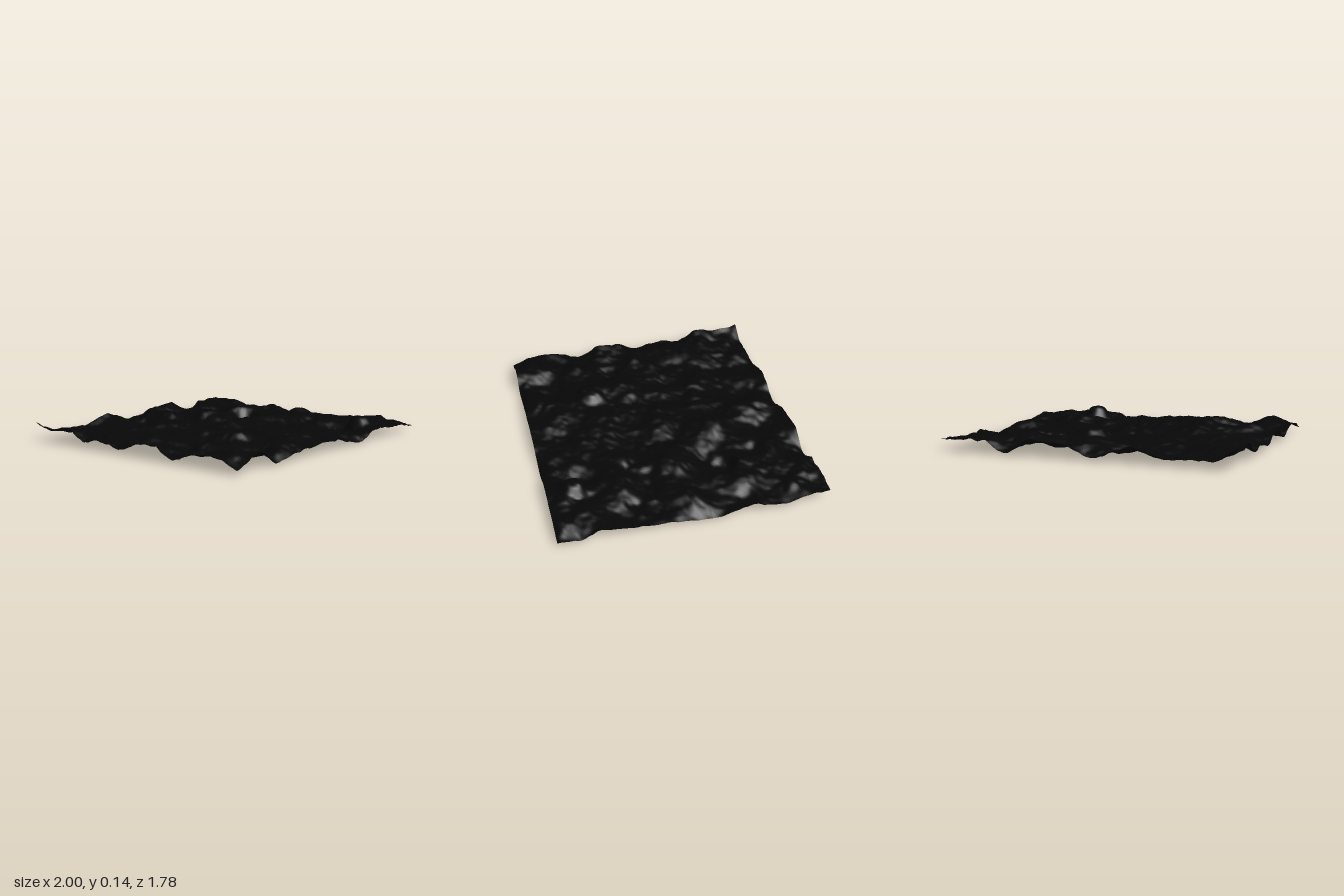
import * as THREE from 'three';

const W = 2, D = 1.78, H = 0.15;
const { lerp, clamp } = THREE.MathUtils;

// Repeatable lattice value in -1..1
function lattice(i, j, seed) {
  let n = Math.imul(i, 374761393) + Math.imul(j, 668265263) + Math.imul(seed, 974711);
  n = Math.imul(n ^ (n >>> 13), 1274126177);
  return ((n ^ (n >>> 16)) >>> 0) / 2147483647.5 - 1;
}

const ease = t => t * t * (3 - 2 * t);

// Smooth value noise
function noise(x, z, seed) {
  const i = Math.floor(x), j = Math.floor(z);
  const u = ease(x - i), v = ease(z - j);
  return lerp(
    lerp(lattice(i, j, seed), lattice(i + 1, j, seed), u),
    lerp(lattice(i, j + 1, seed), lattice(i + 1, j + 1, seed), u), v);
}

// Height along a profile of [position, height] knots
function profile(knots, p) {
  let k = 1;
  while (k < knots.length - 1 && p > knots[k][0]) k++;
  const [a, ha] = knots[k - 1], [b, hb] = knots[k];
  return lerp(ha, hb, ease(clamp((p - a) / (b - a), 0, 1)));
}

// The four rims of the sheet
const frontRim = [[-1, 0.04], [-0.78, 0.11], [-0.63, 0.02], [-0.33, 0.06], [-0.16, 0.07], [0.03, 0.075],
  [0.18, 0.035], [0.3, 0.018], [0.5, 0.08], [0.7, 0.07], [0.85, 0.06], [1, 0.05]];
const backRim = [[-1, 0.12], [-0.85, 0.05], [-0.6, 0.05], [-0.33, 0.11], [-0.08, 0.025], [0.12, 0.095],
  [0.34, 0.125], [0.53, 0.015], [0.68, 0.09], [0.83, 0.1], [1, 0.09]];
const plusXRim = [[-0.89, 0.09], [-0.7, 0.07], [-0.6, 0.04], [-0.36, 0.075], [-0.13, 0.022], [0.12, 0.047],
  [0.35, 0.06], [0.63, 0.085], [0.76, 0.035], [0.89, 0.05]];
const minusXRim = [[-0.89, 0.12], [-0.73, 0.1], [-0.58, 0.13], [-0.4, 0.045], [-0.28, 0.07], [-0.06, 0.04],
  [0.1, 0.1], [0.23, 0.1], [0.36, 0.035], [0.57, 0.085], [0.72, 0.09], [0.89, 0.04]];

// Highest and lowest ground across x and along z
const topAcross = [[-1, 0.14], [-0.9, 0.13], [-0.78, 0.13], [-0.6, 0.105], [-0.4, 0.14], [-0.25, 0.1],
  [-0.1, 0.115], [0.15, 0.14], [0.35, 0.115], [0.57, 0.147], [0.75, 0.135], [1, 0.105]];
const topAlong = [[-0.85, 0.13], [-0.74, 0.12], [-0.6, 0.13], [-0.5, 0.11], [-0.35, 0.14], [-0.15, 0.11],
  [0, 0.13], [0.15, 0.12], [0.25, 0.1], [0.4, 0.135], [0.55, 0.11], [0.71, 0.147], [0.89, 0.12]];
const lowAcross = [[-1, 0.02], [-0.8, 0.03], [-0.6, 0.01], [-0.4, 0.045], [-0.2, 0.03], [0.3, 0.04],
  [0.55, 0.005], [0.75, 0.03], [1, 0.015]];
const lowAlong = [[-0.89, 0.01], [-0.7, 0.03], [-0.56, 0.01], [-0.45, 0.03], [-0.3, 0.003], [-0.1, 0.035],
  [0.2, 0.03], [0.4, 0.03], [0.55, 0.015], [0.89, 0.01]];

// Main hills and hollows: x, z, height
const landmarks = [[0.57, 0.71, 0.147], [0.15, -0.35, 0.138], [-0.4, 0.4, 0.133], [0.55, -0.3, 0]];

// Rolling ground between its limits, settling onto the rims and landmarks
function heightAt(x, z) {
  const high = Math.min(profile(topAcross, x), profile(topAlong, z));
  const low = Math.max(profile(lowAcross, x), profile(lowAlong, z));
  const roll = 0.5 + 0.4 * noise(x * 4.5 + 9, z * 4.5 + 4, 1) + 0.24 * noise(x * 9, z * 9, 2);
  let sum = lerp(low, high, clamp(roll, 0, 1)), total = 1;
  const blend = (weight, height) => {
    sum += weight * height;
    total += weight;
  };
  const settle = (distance, height) => blend((0.055 / (Math.max(distance, 0) + 0.008)) ** 2, height);
  settle(D / 2 - z, profile(frontRim, x));
  settle(D / 2 + z, profile(backRim, x));
  settle(W / 2 - x, profile(plusXRim, z));
  settle(W / 2 + x, profile(minusXRim, z));
  for (const [lx, lz, height] of landmarks) {
    blend(20 * Math.exp(-((x - lx) ** 2 + (z - lz) ** 2) / 0.0018), height);
  }
  const rough = 0.007 * noise(x * 18, z * 18, 3) + 0.004 * noise(x * 36, z * 36, 4);
  return clamp(sum / total + rough, 0, H);
}

export function createModel() {
  const group = new THREE.Group();
  group.name = 'terrain';

  const darkGround = new THREE.MeshStandardMaterial({ color: 0x070707, side: THREE.DoubleSide });
  darkGround.name = 'dark ground';

  // Rough ground sheet
  const geometry = new THREE.PlaneGeometry(W, D, 144, 128).rotateX(-Math.PI / 2);
  const p = geometry.attributes.position;
  for (let i = 0; i < p.count; i++) p.setY(i, heightAt(p.getX(i), p.getZ(i)));
  geometry.computeVertexNormals();

  const ground = new THREE.Mesh(geometry, darkGround);
  ground.name = 'groundSheet';
  group.add(ground);
  return group;
}
